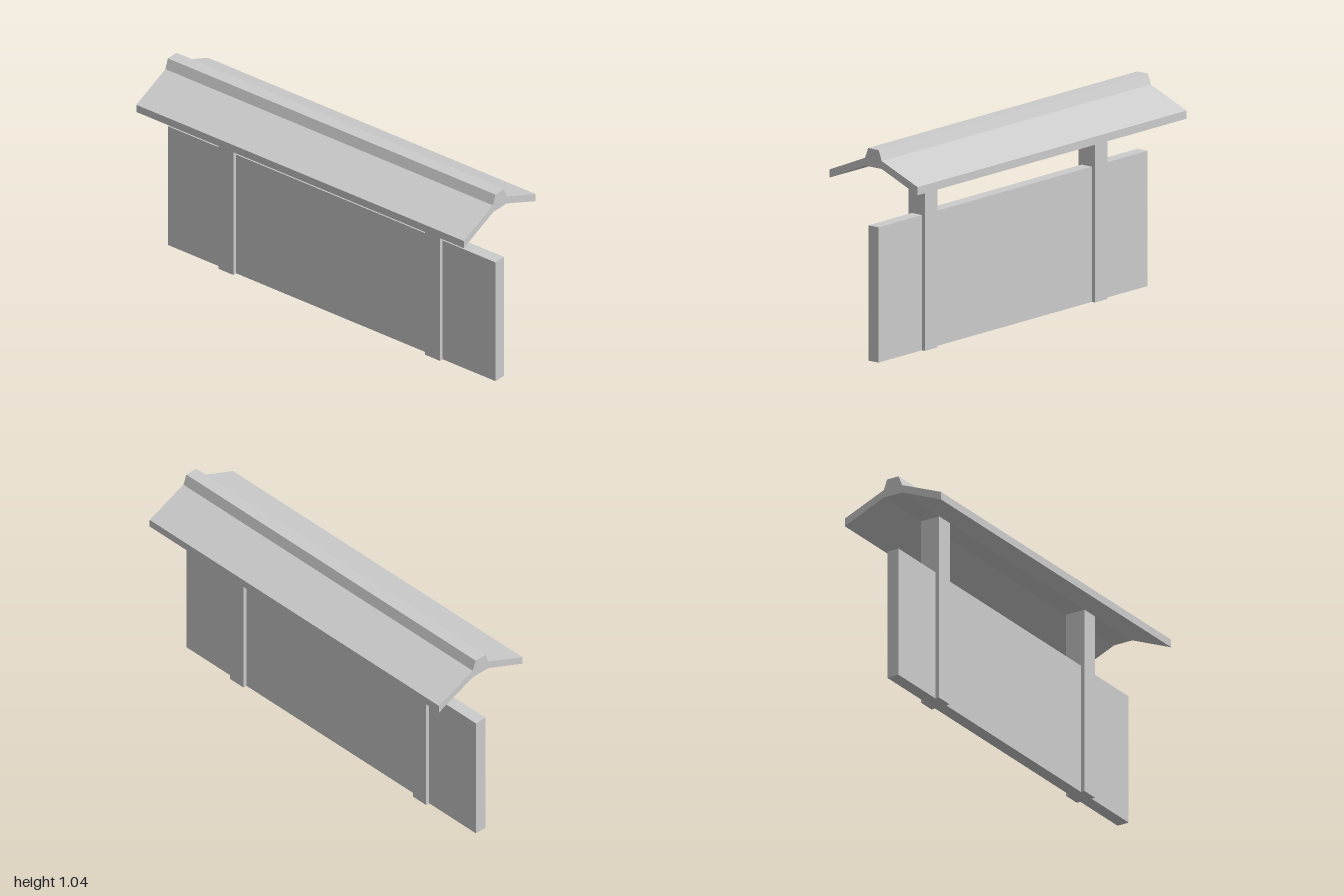
import * as THREE from 'three';

const material = new THREE.MeshStandardMaterial({ color: 0xcccccc, flatShading: true });

function addBox(group, name, width, height, depth, z) {
  const mesh = new THREE.Mesh(new THREE.BoxGeometry(width, height, depth), material);
  mesh.name = name;
  mesh.position.set(0, height / 2, z);
  group.add(mesh);
}

export function createModel() {
  const group = new THREE.Group();
  group.name = 'roofedWall';

  // Wall panel running the full length
  addBox(group, 'wallPanel', 0.064, 0.665, 2, 0);

  // Two posts carrying the roof
  for (const side of [1, -1]) {
    addBox(group, side > 0 ? 'frontPost' : 'backPost', 0.104, 0.955, 0.092, side * 0.631);
  }

  // Gabled roof with a raised ridge cap, extruded from its mirrored half profile
  const half = [[0.052, 0.955], [0.275, 0.861], [0.275, 0.901], [0.052, 0.994], [0.033, 1.045]];
  const mirrored = half.map(([x, y]) => [-x, y]).reverse();
  const profile = new THREE.Shape([...half, ...mirrored].map(([x, y]) => new THREE.Vector2(x, y)));
  const roofGeometry = new THREE.ExtrudeGeometry(profile, { depth: 2, bevelEnabled: false });
  roofGeometry.translate(0, 0, -1);
  const roof = new THREE.Mesh(roofGeometry, material);
  roof.name = 'roof';
  group.add(roof);

  return group;
}
